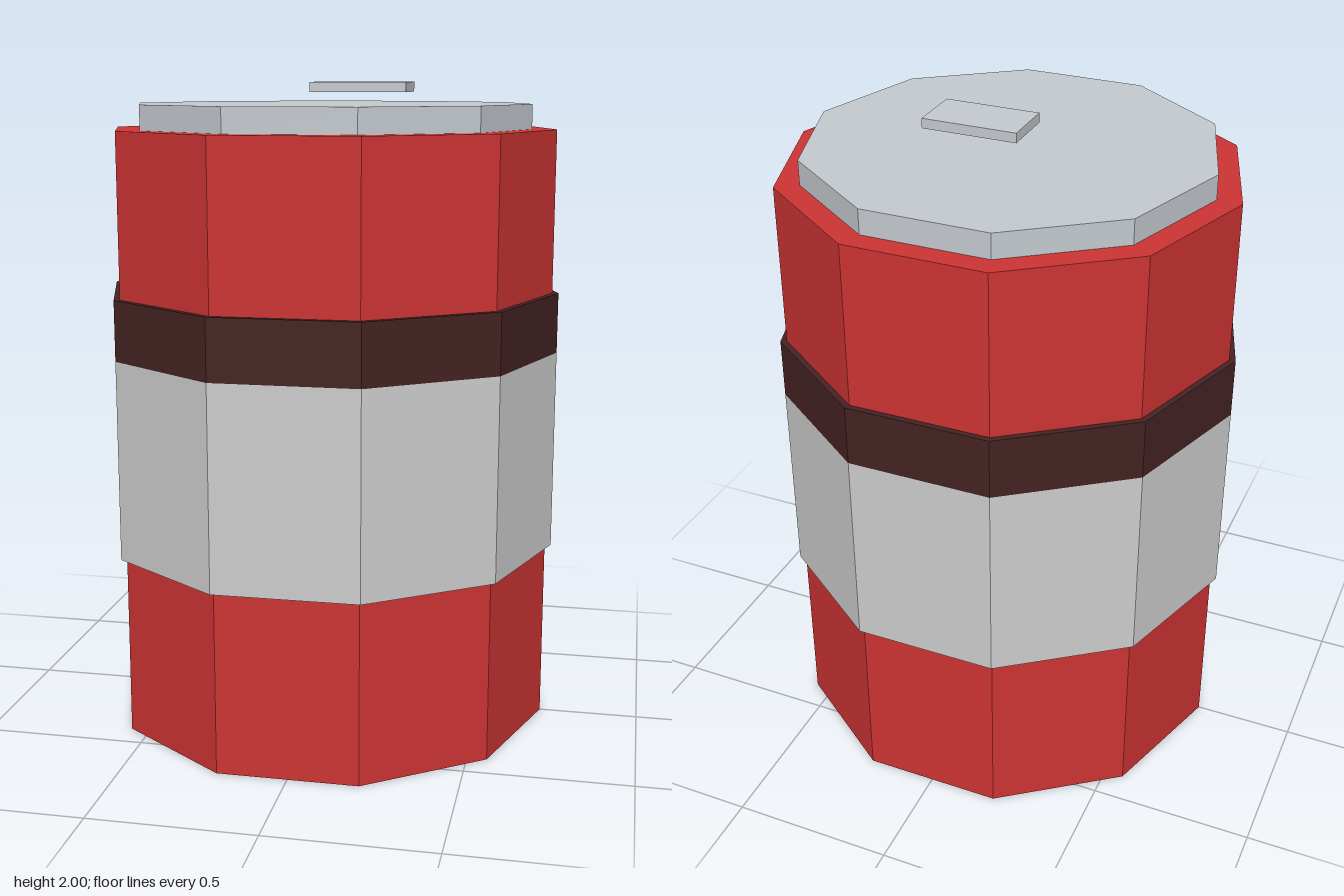
import * as THREE from 'three';

const SIDES = 10;

function addMesh(group, name, geometry, color) {
  const material = new THREE.MeshStandardMaterial({ color, flatShading: true });
  const mesh = new THREE.Mesh(geometry, material);
  mesh.name = name;
  group.add(mesh);
  return mesh;
}

// Ten-sided drum section between two heights, with corners on the x axis
function addDrum(group, name, radius, bottom, top, color) {
  const geometry = new THREE.CylinderGeometry(radius, radius, top - bottom, SIDES, 1, false, Math.PI / 2);
  geometry.translate(0, (bottom + top) / 2, 0);
  return addMesh(group, name, geometry, color);
}

export function createModel() {
  const model = new THREE.Group();
  model.name = 'can';

  // Can body and the raised lid on top
  addDrum(model, 'body', 0.692, 0, 1.86, 0xcc3333);
  addDrum(model, 'lid', 0.617, 1.86, 1.935, 0xc4c9ce);

  // Wrapped label with a dark stripe above it
  addDrum(model, 'label', 0.711, 0.56, 1.18, 0xcccccc);
  addDrum(model, 'stripe', 0.711, 1.18, 1.365, 0x442222);

  // Pull tab, hovering above the lid and set off to one side
  const tab = addMesh(model, 'pullTab', new THREE.BoxGeometry(0.295, 0.03, 0.172), 0xc4c9ce);
  tab.position.set(0.097, 1.985, -0.002);

  return model;
}
